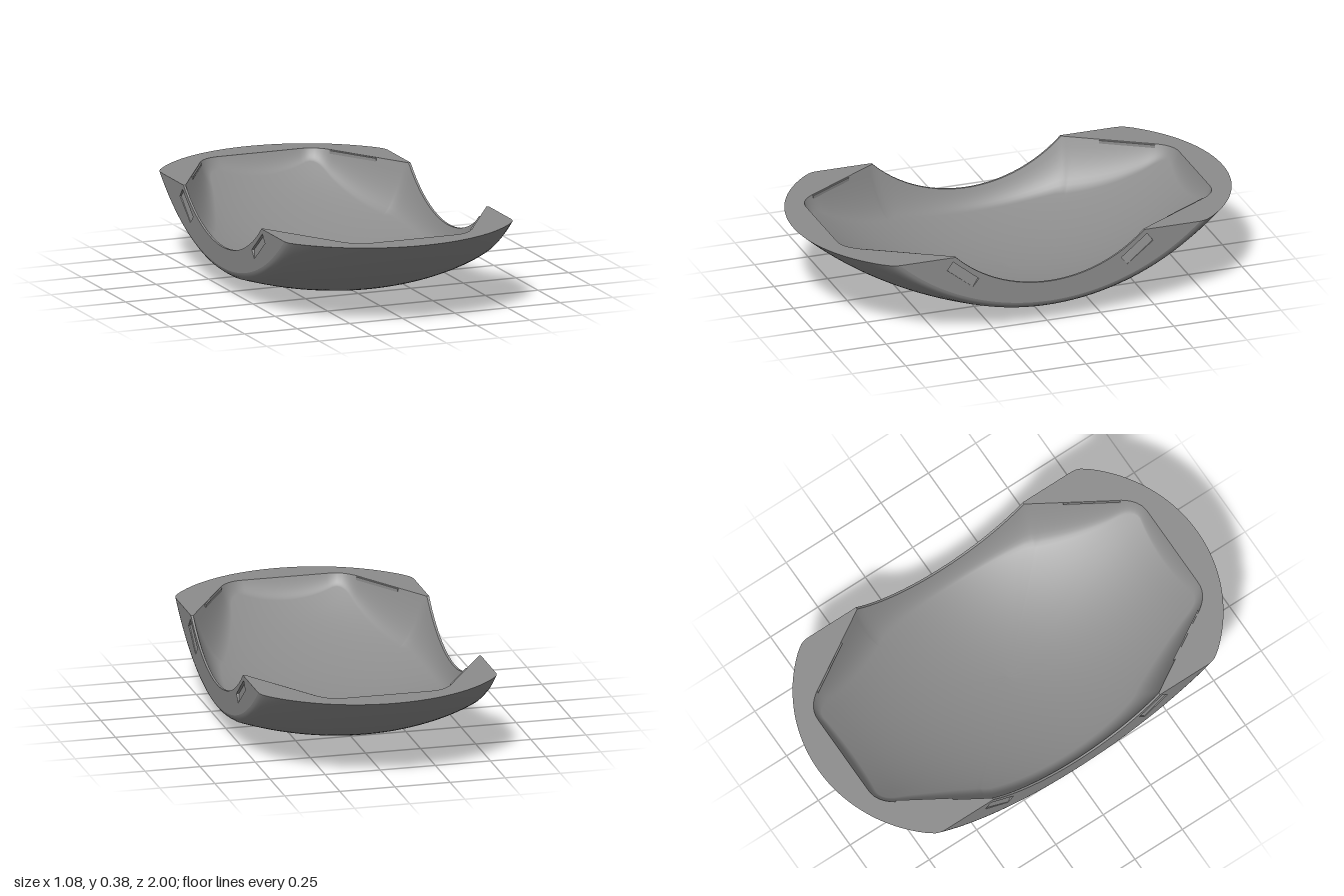
import * as THREE from 'three';

const TOP = 0.385, HALF = 0.54, LIP = 0.53, SCOOP = 0.44;

// Underside: centre-line height, rim reach and height at any x, z
const keel = x => 0.3 * x * x;
const reach = x => 0.33 + Math.sqrt(0.67 * 0.67 - x * x);
function arcY(z, y0, zTop) {
  const h = TOP - y0, r = (zTop * zTop + h * h) / (2 * h);
  return y0 + r - Math.sqrt(r * r - z * z);
}
// Cavity floor, parallel to the underside
const floorY = (x, z) => arcY(z, keel(x), reach(x)) + 0.052;

// Scooped upper edge of the side walls
const scoopY = z => Math.abs(z) >= SCOOP ? TOP : Math.min(TOP, 0.205 + 0.628 - Math.sqrt(0.628 * 0.628 - z * z));

// Smooth surface from a rule f(i, j) over a grid, optionally closed in i
function grid(nu, nv, f, closed = false) {
  const pos = [], idx = [], cols = closed ? nu : nu + 1;
  for (let j = 0; j <= nv; j++) for (let i = 0; i < cols; i++) pos.push(...f(i, j));
  for (let j = 0; j < nv; j++) for (let i = 0; i < nu; i++) {
    const k = (i + 1) % cols;
    const a = j * cols + i, b = j * cols + k, c = a + cols, d = b + cols;
    idx.push(a, b, d, a, d, c);
  }
  const g = new THREE.BufferGeometry();
  g.setAttribute('position', new THREE.Float32BufferAttribute(pos, 3));
  g.setIndex(idx);
  g.computeVertexNormals();
  return g;
}

export function createModel() {
  const model = new THREE.Group();
  const mat = new THREE.MeshStandardMaterial({ color: 0x8c8c8c, side: THREE.DoubleSide });
  const add = (name, geo, parent = model) => {
    const m = new THREE.Mesh(geo, mat);
    m.name = name;
    parent.add(m);
    return m;
  };

  // Cross ribs of the outer shell [x, keel height, rim reach], rounded at both sides
  const half = [[HALF, 0.112, 0.7], [0.537, 0.102, 0.718], [0.53, 0.093, 0.736], [0.519, 0.085, 0.752]];
  for (let i = 0; i <= 20; i++) {
    const x = 0.505 * (1 - i / 20);
    half.push([x, keel(x), reach(x)]);
  }
  const ribs = [...half.map(([x, y, z]) => [-x, y, z]), ...half.slice(0, -1).reverse()];
  const NZ = 64;
  add('outerShell', grid(ribs.length - 1, NZ, (i, j) => {
    const [x, y, zTop] = ribs[i], z = zTop * (2 * j / NZ - 1);
    return [x, arcY(z, y, zTop), z];
  }));

  // One quarter of the cavity opening: scooped side, slanted corner, straight end
  const corner = new THREE.Path();
  corner.moveTo(LIP, SCOOP).lineTo(0.325, 0.775);
  corner.quadraticCurveTo(0.275, 0.87, 0.2, 0.87);
  corner.lineTo(0, 0.87);
  const endEdge = corner.getSpacedPoints(32);
  const quarter = [];
  for (let i = 0; i < 14; i++) quarter.push(new THREE.Vector2(LIP, SCOOP * i / 14));
  quarter.push(...endEdge);
  const flip = (pts, sx, sz) => pts.map(p => new THREE.Vector2(p.x * sx, p.y * sz));
  const upper = [...quarter, ...flip(quarter, -1, 1).reverse().slice(1)];
  const loop = [...upper, ...flip(upper, -1, -1).slice(1, -1)];

  // Foot of the cavity wall: set in from the opening in proportion to the wall's height
  const foot = loop.map((p, i) => {
    const n = loop.length, along = loop[(i + 2) % n].clone().sub(loop[(i + n - 2) % n]).normalize();
    const inset = 0.75 * (scoopY(p.y) - floorY(p.x, p.y)) + 0.015;
    return new THREE.Vector2(p.x - along.y * inset, p.y + along.x * inset);
  });

  // Cavity: floor, then a wall curving up to the opening
  const FLOOR = 12, WALL = 8;
  add('cavity', grid(loop.length, FLOOR + WALL, (i, j) => {
    const p = loop[i], f = foot[i];
    if (j <= FLOOR) {
      const s = j / FLOOR;
      return [f.x * s, floorY(f.x * s, f.y * s), f.y * s];
    }
    const t = (j - FLOOR) / WALL, a = (1 - t) ** 2, b = 2 * t * (1 - t), c = t * t;
    const m = f.clone().lerp(p, 0.55);
    return [
      a * f.x + b * m.x + c * p.x,
      a * floorY(f.x, f.y) + b * floorY(m.x, m.y) + c * scoopY(p.y),
      a * f.y + b * m.y + c * p.y
    ];
  }, true));

  // Flat rim at each end
  const rim = new THREE.Shape([
    new THREE.Vector2(-HALF, SCOOP),
    ...flip(endEdge, -1, 1),
    ...endEdge.slice(0, -1).reverse(),
    new THREE.Vector2(HALF, SCOOP),
    ...ribs.slice().reverse().map(([x, , z]) => new THREE.Vector2(x, z))
  ]);
  for (const turn of [0, Math.PI]) {
    const m = add('endRim', new THREE.ShapeGeometry(rim).rotateX(-Math.PI / 2).translate(0, TOP, 0));
    m.rotation.y = turn;
  }

  // Side walls with the scooped edge and two shallow slanted pockets
  const wall = new THREE.Shape();
  const [, sideY, sideZ] = half[0];
  for (let j = 0; j <= NZ; j++) {
    const z = sideZ * (2 * j / NZ - 1);
    if (j) wall.lineTo(z, arcY(z, sideY, sideZ));
    else wall.moveTo(z, TOP);
  }
  for (let j = 0; j <= 28; j++) {
    const z = SCOOP * (1 - j / 14);
    wall.lineTo(z, scoopY(z));
  }
  const pocket = [[0.452, 0.364], [0.48, 0.327], [0.36, 0.232], [0.332, 0.267]];
  const depth = [0.014, 0.006, 0.002, 0.012];
  for (const s of [1, -1]) {
    wall.holes.push(new THREE.Path(pocket.map(([z, y]) => new THREE.Vector2(z * s, y))));
  }

  for (const turn of [0, Math.PI]) {
    const side = new THREE.Group();
    side.name = 'side';
    side.rotation.y = turn;
    model.add(side);
    add('sideWall', new THREE.ShapeGeometry(wall).rotateY(Math.PI / 2).translate(HALF, 0, 0), side);
    add('scoopEdge', grid(28, 1, (i, j) => {
      const z = SCOOP * (i / 14 - 1);
      return [j ? HALF : LIP, scoopY(z), z];
    }), side);
    for (const s of [1, -1]) {
      // Pocket walls and sloping floor
      const g = grid(4, 1, (i, j) => {
        const [z, y] = pocket[i % 4];
        return [HALF - (j ? depth[i % 4] : 0), y, z * s];
      }).toNonIndexed();
      g.computeVertexNormals();
      add('pocketWalls', g, side);
      add('pocketFloor', grid(1, 1, (i, j) => {
        const k = j ? 3 - i : i;
        return [HALF - depth[k], pocket[k][1], pocket[k][0] * s];
      }), side);
      // Thin strip along the slanted corner of the opening
      const strip = add('cornerStrip', new THREE.BoxGeometry(0.012, 0.014, 0.25), side);
      strip.position.set(0.374, TOP - 0.01, 0.692 * s);
      strip.rotation.y = -s * Math.atan2(0.205, 0.335);
    }
  }
  return model;
}
